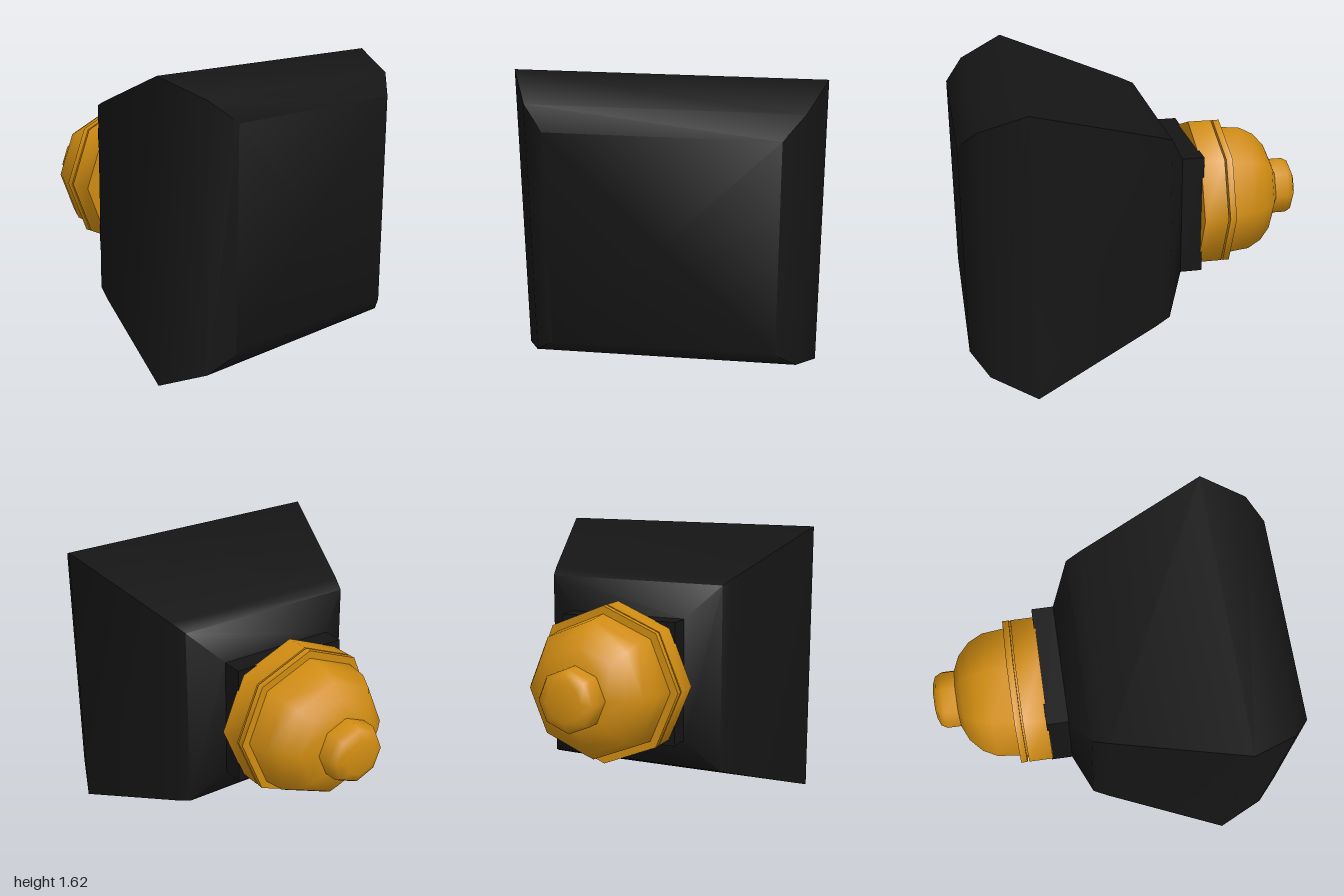
import * as THREE from 'three';
import { toCreasedNormals } from 'three/addons/utils/BufferGeometryUtils.js';

const CENTRE_Y = 0.81;

// Turns a back-to-front profile of [radius, z] around the z axis.
function turned(name, profile, sides, material) {
  const square = sides === 4;
  const scale = square ? Math.SQRT2 : 1; // square profiles give half-widths
  const points = profile.map(([r, z]) => new THREE.Vector2(r * scale, z));
  const lathe = new THREE.LatheGeometry(points, sides, square ? Math.PI / 4 : 0);
  lathe.rotateX(Math.PI / 2);
  const mesh = new THREE.Mesh(toCreasedNormals(lathe, 0.9), material);
  mesh.name = name;
  mesh.position.y = CENTRE_Y;
  return mesh;
}

export function createModel() {
  const group = new THREE.Group();
  const black = new THREE.MeshStandardMaterial({ color: 0x151515 });
  const gold = new THREE.MeshStandardMaterial({ color: 0xd08c12 });

  // Square flared housing with a bevelled front and a short neck
  group.add(turned('housing', [
    [0, -0.37], [0.35, -0.37], [0.35, -0.245], [0.535, -0.14], [0.57, -0.05],
    [0.81, 0.65], [0.705, 0.9], [0.595, 1], [0, 1],
  ], 4, black));

  // Eight-sided collar with a narrow groove
  group.add(turned('collar', [
    [0, -0.545], [0.445, -0.545], [0.445, -0.508], [0.41, -0.508],
    [0.41, -0.498], [0.445, -0.498], [0.445, -0.36], [0, -0.36],
  ], 8, gold));

  // Domed rear cap
  group.add(turned('dome', [
    [0, -0.865], [0.178, -0.865], [0.267, -0.825], [0.342, -0.756],
    [0.386, -0.673], [0.4, -0.545],
  ], 8, gold));

  // Knob at the very back
  group.add(turned('knob', [
    [0, -1], [0.105, -1], [0.155, -0.98], [0.175, -0.945], [0.175, -0.85],
  ], 8, gold));

  return group;
}
